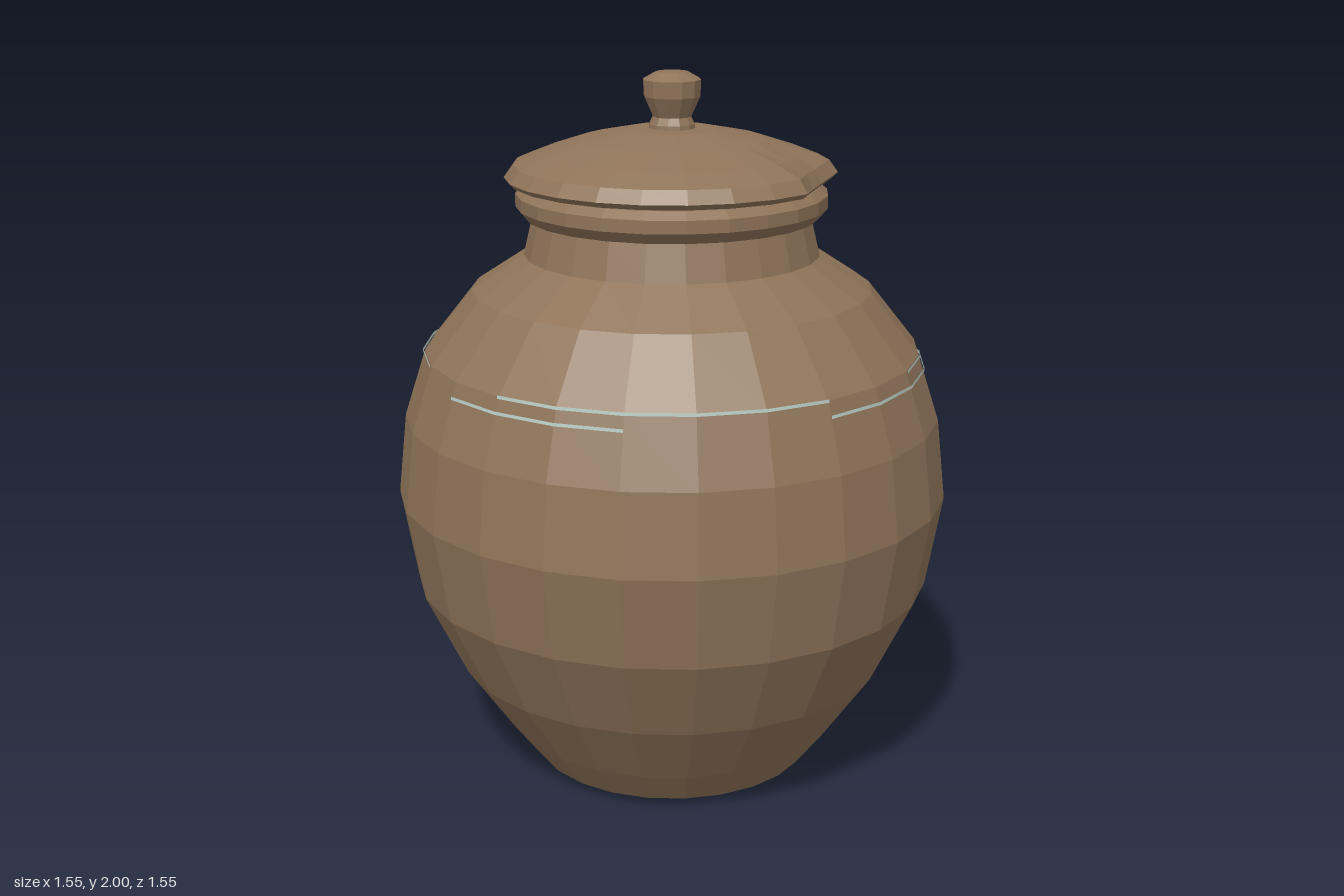
import * as THREE from 'three';

const SIDES = 24;

// Faceted solid of revolution from [radius, height] pairs; dent may move vertices first.
function turned(name, profile, material, sides = SIDES, dent = null) {
  const points = profile.map(([r, y]) => new THREE.Vector2(r, y));
  const lathe = new THREE.LatheGeometry(points, sides);
  if (dent) dent(lathe.attributes.position);
  const geometry = lathe.toNonIndexed();
  geometry.computeVertexNormals();
  const mesh = new THREE.Mesh(geometry, material);
  mesh.name = name;
  return mesh;
}

// Chipped lid edge on the +x side: two neighbouring spokes are pushed in and down.
function chipRim(position) {
  for (let i = 0; i < position.count; i++) {
    const x = position.getX(i), y = position.getY(i), z = position.getZ(i);
    const r = Math.hypot(x, z);
    const degrees = THREE.MathUtils.radToDeg(Math.atan2(x, z));
    if (r < 0.34 || degrees < 70 || degrees > 95) continue;
    const scale = r > 0.42 ? 0.9 : 0.97;
    position.setXYZ(i, x * scale, y - 0.01, z * scale);
  }
}

export function createModel() {
  const clay = new THREE.MeshStandardMaterial({ color: 0x8f7459 });
  clay.name = 'brown clay';
  const glaze = new THREE.MeshStandardMaterial({ color: 0xc4d8d0, side: THREE.DoubleSide });
  glaze.name = 'pale glaze';

  const jar = new THREE.Group();
  jar.name = 'liddedJar';

  // Belly, neck and collar, with a short inner wall at the mouth
  jar.add(turned('body', [
    [0, 0], [0.33, 0], [0.4, 0.03], [0.48, 0.135], [0.615, 0.33], [0.73, 0.57],
    [0.775, 0.83], [0.75, 1.055], [0.69, 1.24], [0.555, 1.41], [0.41, 1.505],
    [0.385, 1.61], [0.405, 1.61], [0.43, 1.64], [0.43, 1.675], [0.405, 1.695],
    [0.36, 1.695], [0.34, 1.6],
  ], clay));

  // Lid with plug, overhanging rim and shallow dome
  jar.add(turned('lid', [
    [0, 1.67], [0.355, 1.67], [0.385, 1.705], [0.445, 1.705], [0.46, 1.72],
    [0.435, 1.755], [0.36, 1.785], [0.255, 1.82], [0.12, 1.848], [0, 1.85],
  ], clay, SIDES, chipRim));

  // Knob
  jar.add(turned('knob', [
    [0.065, 1.84], [0.063, 1.86], [0.053, 1.88], [0.078, 1.935],
    [0.08, 1.98], [0.045, 2], [0, 2],
  ], clay, 12));

  // Broken pale lines around the shoulder: arcs in degrees from the front
  const lines = [
    { y: 1.24, r: 0.695, arcs: [[-30, 45], [75, 90], [120, 210], [240, 300]] },
    { y: 1.2, r: 0.707, arcs: [[-45, 0], [45, 120], [195, 270]] },
  ];
  const shoulder = new THREE.Group();
  shoulder.name = 'shoulderLines';
  for (const { y, r, arcs } of lines) {
    for (const [from, to] of arcs) {
      const arc = new THREE.CylinderGeometry(r, r, 0.009, (to - from) / 15, 1, true,
        THREE.MathUtils.degToRad(from), THREE.MathUtils.degToRad(to - from));
      const line = new THREE.Mesh(arc, glaze);
      line.name = 'shoulderLine';
      line.position.y = y;
      shoulder.add(line);
    }
  }
  jar.add(shoulder);
  return jar;
}
